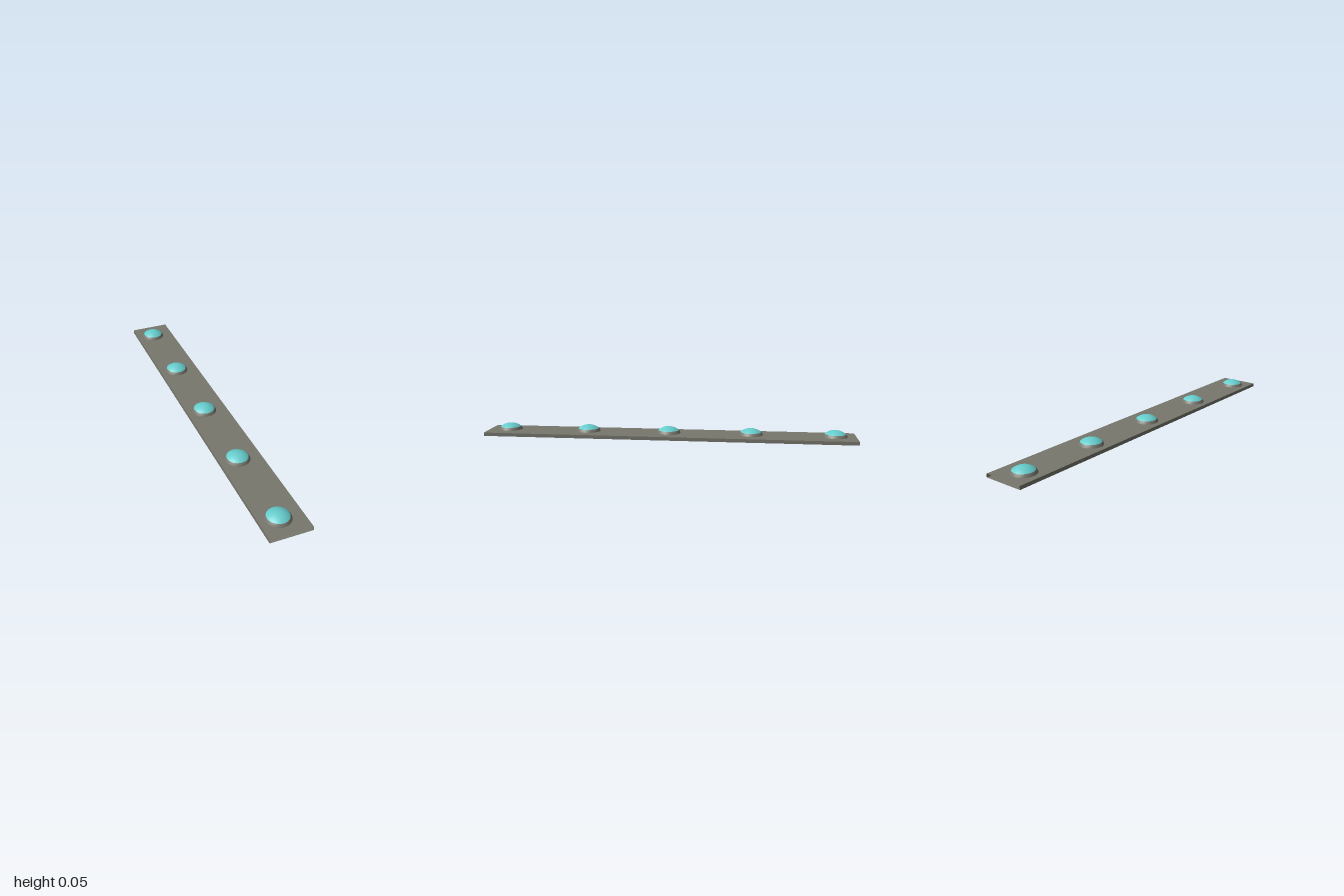
import * as THREE from 'three';

const HALF_W = 0.108, HEIGHT = 0.0187, LAMP_X = -0.013;

export function createModel() {
  const model = new THREE.Group();
  model.name = 'lightStrip';
  const grey = new THREE.MeshStandardMaterial({ color: 0x77776e, side: THREE.DoubleSide });
  const teal = new THREE.MeshStandardMaterial({ color: 0x66cccc, side: THREE.DoubleSide });

  // Hollow mounting strip: four long panels, open at both ends
  const strip = new THREE.Group();
  strip.name = 'mountingStrip';
  const addPanel = (name, width, x, y, turn) => {
    const geometry = new THREE.PlaneGeometry(width, 2);
    geometry.rotateX(-Math.PI / 2).rotateZ(turn).translate(x, y, 0);
    const panel = new THREE.Mesh(geometry, grey);
    panel.name = name;
    strip.add(panel);
  };
  addPanel('topPanel', HALF_W * 2, 0, HEIGHT, 0);
  addPanel('bottomPanel', HALF_W * 2, 0, 0, Math.PI);
  addPanel('leftEdge', HEIGHT, HALF_W, HEIGHT / 2, -Math.PI / 2);
  addPanel('rightEdge', HEIGHT, -HALF_W, HEIGHT / 2, Math.PI / 2);
  model.add(strip);

  // Lamp rim: a short flared collar
  const rimGeometry = new THREE.LatheGeometry([
    new THREE.Vector2(0.0645, HEIGHT),
    new THREE.Vector2(0.061, 0.0265),
    new THREE.Vector2(0.0555, 0.0335),
  ], 32);

  // Lamp lens: a shallow spherical cap
  const lensRadius = 0.0555, lensBase = 0.0335, lensHeight = 0.0195;
  const sphere = (lensRadius ** 2 + lensHeight ** 2) / (2 * lensHeight);
  const lensGeometry = new THREE.SphereGeometry(
    sphere, 32, 8, 0, Math.PI * 2, 0, Math.asin(lensRadius / sphere));
  lensGeometry.translate(0, lensBase + lensHeight - sphere, 0);

  // Five evenly spaced lamps
  for (let i = -2; i <= 2; i++) {
    const lamp = new THREE.Group();
    lamp.name = `lamp${i + 3}`;
    const rim = new THREE.Mesh(rimGeometry, grey);
    rim.name = 'lampRim';
    const lens = new THREE.Mesh(lensGeometry, teal);
    lens.name = 'lampLens';
    lamp.add(rim, lens);
    lamp.position.set(LAMP_X, 0, i * 0.4445);
    model.add(lamp);
  }
  return model;
}
